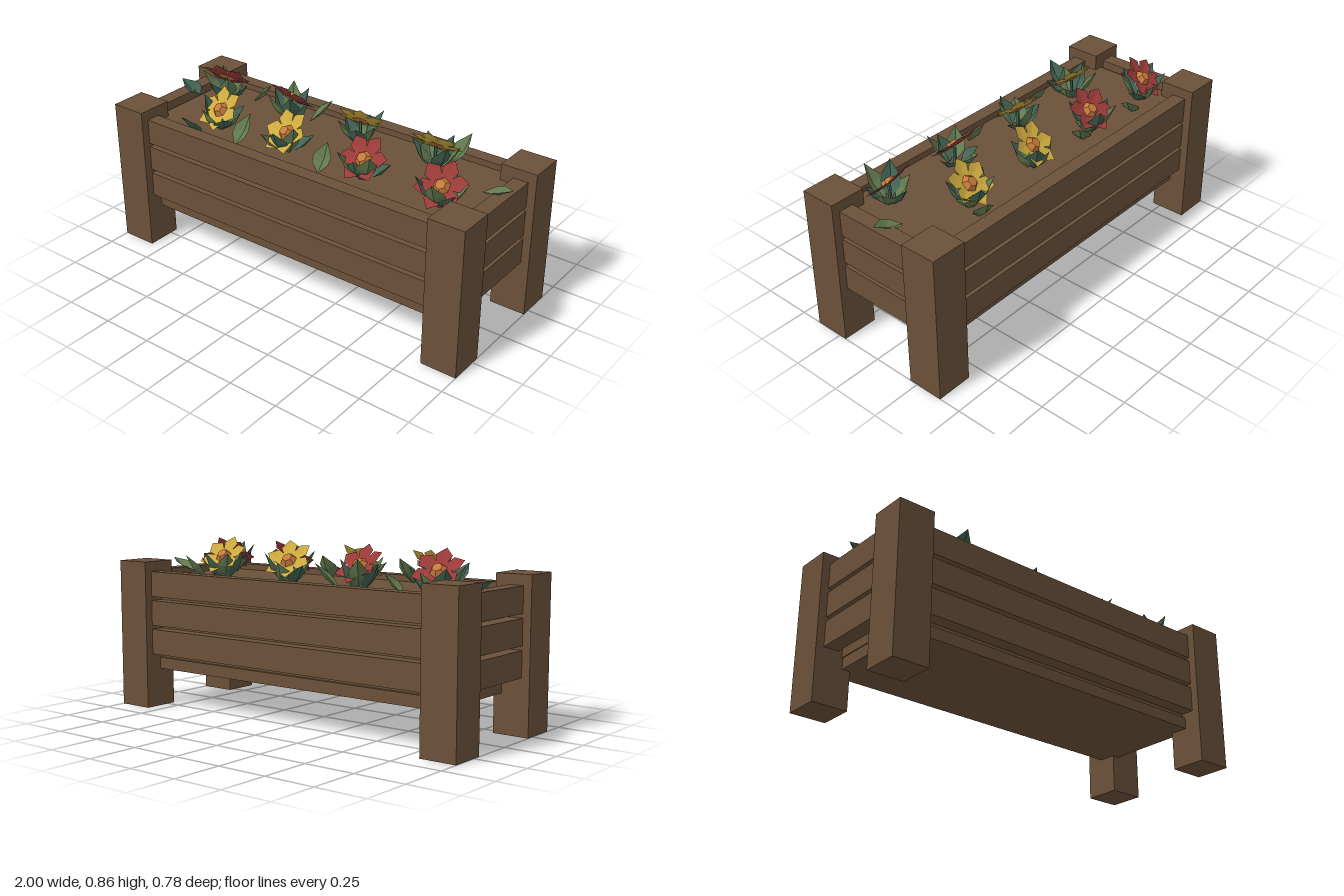
import * as THREE from 'three';

const flat = (name, color, open = false) => {
  const m = new THREE.MeshStandardMaterial({ color, flatShading: true });
  m.name = name;
  if (open) m.side = THREE.DoubleSide;
  return m;
};

// Fan of triangles around a raised centre point
function fan(centre, rim) {
  const pos = [];
  rim.forEach((p, i) => pos.push(...centre, ...p, ...rim[(i + 1) % rim.length]));
  const g = new THREE.BufferGeometry();
  g.setAttribute('position', new THREE.Float32BufferAttribute(pos, 3));
  g.computeVertexNormals();
  return g;
}

export function createModel() {
  const root = new THREE.Group();
  root.name = 'planter';
  const wood = flat('brown wood', 0x6b5139);
  const sage = flat('sage leaf', 0x637a50, true);
  const teal = flat('teal leaf', 0x426352, true);
  const red = flat('red petal', 0x9a3a38, true);
  const yellow = flat('yellow petal', 0xcdaa3e, true);
  const orange = flat('orange flower centre', 0xc67a3c);

  let seed = 7;
  const rand = () => (seed = (seed * 16807) % 2147483647) / 2147483647;

  const box = (name, w, h, d, x, y, z) => {
    const m = new THREE.Mesh(new THREE.BoxGeometry(w, h, d), wood);
    m.name = name;
    m.position.set(x, y, z);
    root.add(m);
  };

  // Corner posts
  for (const x of [-0.91, 0.91])
    for (const z of [-0.3, 0.3]) box('cornerPost', 0.18, 0.735, 0.18, x, 0.3675, z);

  // Three spaced planks on each side
  for (const y of [0.3325, 0.4775, 0.6225])
    for (const s of [-1, 1]) {
      box('longPlank', 1.66, 0.125, 0.07, 0, y, s * 0.315);
      box('endPlank', 0.075, 0.125, 0.44, s * 0.9225, y, 0);
    }

  // Base board and soil filling
  box('baseBoard', 1.72, 0.057, 0.6, 0, 0.2185, 0);
  box('soil', 1.73, 0.41, 0.57, 0, 0.45, 0);

  // Folded kite-shaped leaf running from base to tip
  const leafGeo = fan([0, -0.015, 0.5], [
    [0, 0, 0], [-0.042, 0.008, 0.3], [-0.046, 0.01, 0.55], [0, 0, 1], [0.046, 0.01, 0.55], [0.042, 0.008, 0.3],
  ]);
  const leaf = (base, tip, mat) => {
    const a = new THREE.Vector3(...base), b = new THREE.Vector3(...tip);
    const m = new THREE.Mesh(leafGeo, mat);
    m.name = 'leaf';
    m.position.copy(a);
    m.lookAt(b);
    m.scale.z = a.distanceTo(b);
    root.add(m);
  };

  const petalGeo = fan([0, 0.07, 0.004], [
    [-0.018, 0.02, 0], [0.018, 0.02, 0], [0.04, 0.082, 0.012], [0, 0.122, 0.016], [-0.04, 0.082, 0.012],
  ]);
  const centreGeo = new THREE.CylinderGeometry(0.024, 0.042, 0.026, 6);
  centreGeo.rotateX(Math.PI / 2);

  // Tilted flower on a stem with a ring of leaves
  const plant = (x, side, mat) => {
    const z = side * 0.14, y = side > 0 ? 0.745 : 0.762;
    const flower = new THREE.Group();
    flower.name = 'flower';
    flower.position.set(x, y, z);
    flower.lookAt(x + (rand() - 0.5) * 0.3, y + 0.75, z + side * 0.7);
    const turn = rand() * 1.05;
    for (let i = 0; i < 6; i++) {
      const petal = new THREE.Mesh(petalGeo, mat);
      petal.name = 'petal';
      petal.rotation.z = turn + (i * Math.PI) / 3;
      flower.add(petal);
    }
    const centre = new THREE.Mesh(centreGeo, orange);
    centre.name = 'flowerCentre';
    centre.position.z = 0.013;
    flower.add(centre);
    root.add(flower);

    const stem = new THREE.Mesh(new THREE.CylinderGeometry(0.008, 0.01, y - 0.64, 5), teal);
    stem.name = 'stem';
    stem.position.set(x, (y + 0.63) / 2, z);
    root.add(stem);

    const start = rand() * 6;
    for (let i = 0; i < 6; i++) {
      const a = start + (i * Math.PI) / 3 + (rand() - 0.5) * 0.5;
      const r = 0.09 + rand() * 0.04, c = Math.cos(a), s = Math.sin(a);
      leaf([x + c * 0.025, 0.65, z + s * 0.025], [x + c * r, 0.73 + rand() * 0.08, z + s * r], i % 2 ? sage : teal);
    }
  };
  [-0.74, -0.32, 0.1, 0.52].forEach((x, i) => plant(x, -1, i < 2 ? red : yellow));
  [-0.53, -0.12, 0.32, 0.73].forEach((x, i) => plant(x, 1, i < 2 ? yellow : red));

  // Loose leaves between the plants and over the rim
  leaf([0.83, 0.67, -0.04], [0.985, 0.73, -0.03], sage);
  leaf([-0.84, 0.67, -0.05], [-0.965, 0.73, -0.05], teal);
  leaf([0.56, 0.65, -0.23], [0.6, 0.775, -0.325], sage);
  leaf([-0.58, 0.65, 0.23], [-0.6, 0.76, 0.34], teal);
  leaf([-0.6, 0.65, -0.19], [-0.51, 0.75, -0.22], sage);
  leaf([-0.23, 0.65, -0.17], [-0.13, 0.77, -0.23], sage);
  leaf([-0.35, 0.65, 0.25], [-0.34, 0.78, 0.14], sage);
  leaf([0.13, 0.65, 0.23], [0.12, 0.77, 0.14], sage);
  return root;
}
